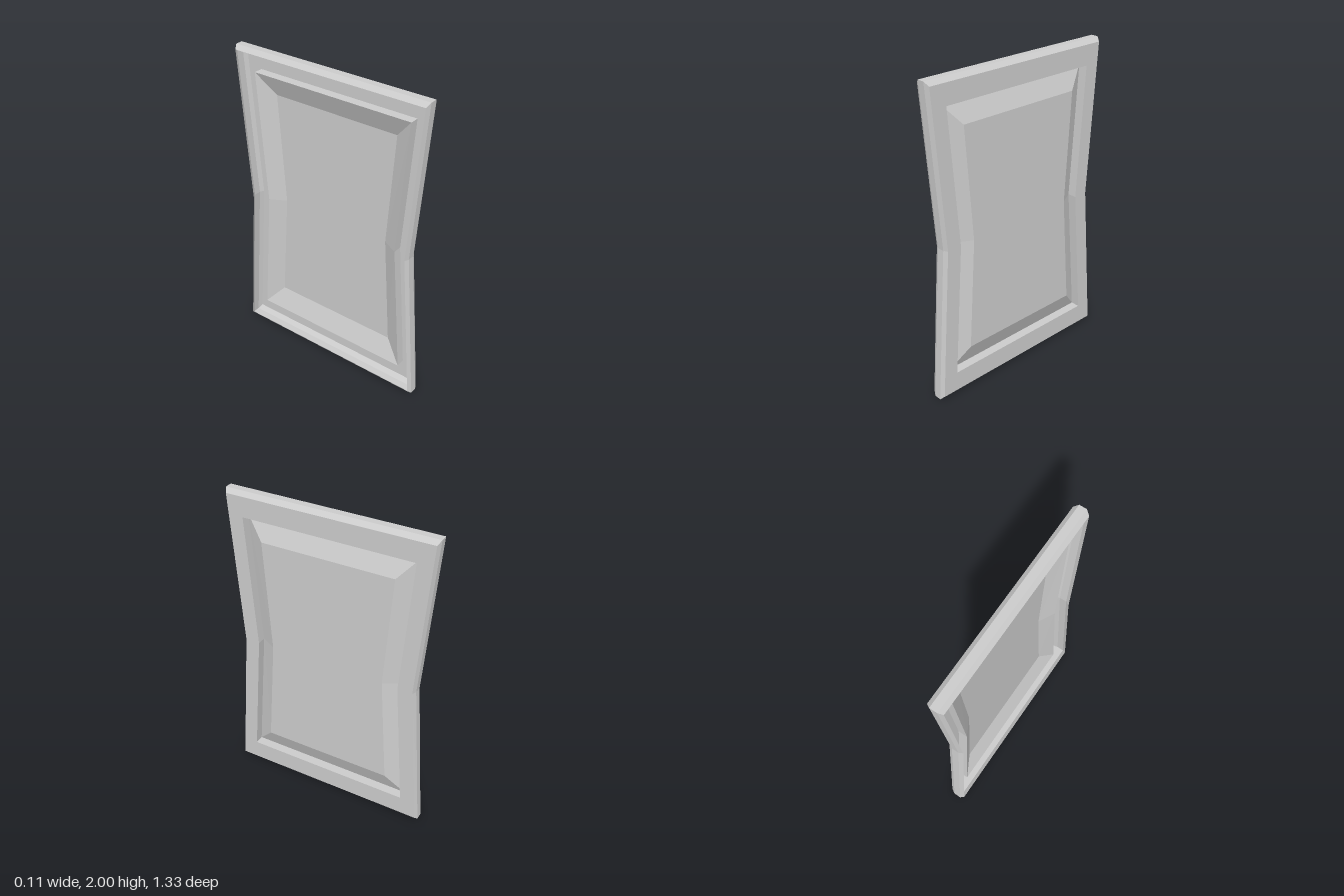
import * as THREE from 'three';

// Pinched six-cornered outline at depth x, counter-clockwise seen from +x.
// Slight lean in x with height.
function ring([x, end, waist, halfH]) {
  return [[-waist, 0], [-end, halfH], [end, halfH], [waist, 0], [end, -halfH], [-end, -halfH]]
    .map(([z, y]) => [x - 0.004 * y, y + 1, z]);
}

// Faceted skin stretched over successive outlines
function skin(name, profiles, material) {
  const rings = profiles.map(ring);
  const positions = [];
  for (let r = 0; r < rings.length - 1; r++) {
    const a = rings[r], b = rings[r + 1];
    for (let i = 0; i < 6; i++) {
      const j = (i + 1) % 6;
      positions.push(...a[i], ...a[j], ...b[j]);
      if (profiles[r + 1][1] > 0) positions.push(...a[i], ...b[j], ...b[i]);
    }
  }
  const geometry = new THREE.BufferGeometry();
  geometry.setAttribute('position', new THREE.Float32BufferAttribute(positions, 3));
  geometry.computeVertexNormals();
  const mesh = new THREE.Mesh(geometry, material);
  mesh.name = name;
  return mesh;
}

export function createModel() {
  const group = new THREE.Group();
  group.name = 'pinchedPanel';
  const material = new THREE.MeshStandardMaterial({
    color: 0xcccccc, flatShading: true, side: THREE.DoubleSide,
  });

  // Outlines as [depth x, half width at ends, half width at waist, half height]
  const backLip = [-0.051, 0.65, 0.575, 0.975];
  const edgeBack = [-0.025, 0.665, 0.588, 1];
  const edgeFront = [0.022, 0.665, 0.588, 1];
  const faceOuter = [0.049, 0.65, 0.575, 0.975];
  const faceInner = [0.049, 0.545, 0.48, 0.848];
  const recessFloor = [-0.01, 0.545, 0.48, 0.848];
  const fieldEdge = [0.045, 0.427, 0.377, 0.716];
  const fieldCentre = [0.045, 0, 0, 0];

  // Chamfered outer rim, open at the back
  group.add(skin('outerRim', [backLip, edgeBack, edgeFront, faceOuter], material));
  // Flat border and the wall of its recess
  group.add(skin('frameFace', [faceOuter, faceInner], material));
  group.add(skin('recessWall', [faceInner, recessFloor], material));
  // Bevelled raised panel
  group.add(skin('panelBevel', [recessFloor, fieldEdge], material));
  group.add(skin('panelField', [fieldEdge, fieldCentre], material));
  return group;
}
